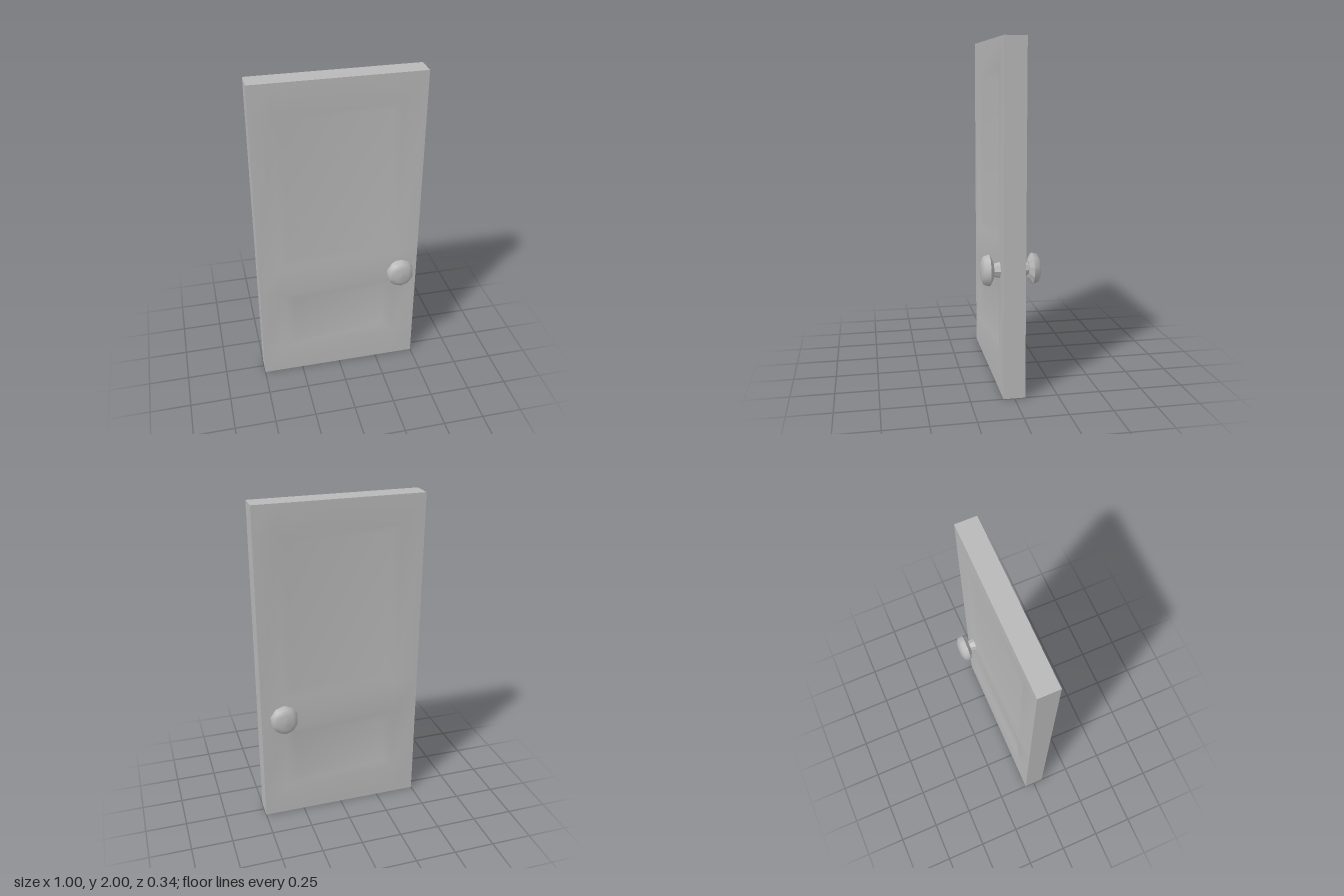
import * as THREE from 'three';

const W = 0.5, H = 2, D = 0.0625, RECESS = 0.02;

// One door face: a flat frame grid whose panel cells sink to an inset rectangle
function faceGeometry() {
  const xs = [-W, -0.36, 0.36, W];
  const ys = [0, 0.2, 0.62, 0.82, 1.83, H];
  const insets = { 1: [0.285, 0.25, 0.56], 3: [0.305, 0.875, 1.78] };
  const pos = [], index = [];
  const add = (x, y, z) => pos.push(x, y, z) / 3 - 1;
  const quad = (a, b, c, d) => index.push(a, b, c, a, c, d);
  const grid = ys.map(y => xs.map(x => add(x, y, D)));
  for (let j = 0; j < ys.length - 1; j++) {
    for (let i = 0; i < xs.length - 1; i++) {
      const outer = [grid[j][i], grid[j][i + 1], grid[j + 1][i + 1], grid[j + 1][i]];
      if (i !== 1 || !insets[j]) { quad(...outer); continue; }
      const [x, y0, y1] = insets[j], z = D - RECESS;
      const inner = [add(-x, y0, z), add(x, y0, z), add(x, y1, z), add(-x, y1, z)];
      for (let k = 0; k < 4; k++) {
        const n = (k + 1) % 4;
        quad(outer[k], outer[n], inner[n], inner[k]);
      }
      quad(...inner);
    }
  }
  const g = new THREE.BufferGeometry();
  g.setAttribute('position', new THREE.Float32BufferAttribute(pos, 3));
  g.setIndex(index);
  g.computeVertexNormals();
  return g;
}

const lathe = (points, sides) =>
  new THREE.LatheGeometry(points.map(([r, y]) => new THREE.Vector2(r, y)), sides);

export function createModel() {
  const model = new THREE.Group();
  model.name = 'door';
  const grey = new THREE.MeshStandardMaterial({ color: 0xb8b8b8 });
  grey.name = 'grey';
  const mesh = (geometry, name, parent) => {
    const m = new THREE.Mesh(geometry, grey);
    m.name = name;
    parent.add(m);
    return m;
  };

  // Edges of the slab: a box without its front and back
  const box = new THREE.BoxGeometry(2 * W, H, 2 * D);
  box.setIndex(Array.from(box.index.array.slice(0, 24)));
  box.clearGroups();
  mesh(box, 'doorEdges', model).position.y = H / 2;

  // Panelled faces
  const face = faceGeometry();
  mesh(face, 'frontFace', model);
  mesh(face, 'backFace', model).rotation.y = Math.PI;

  // Knob on each side: faceted stem, conical underside, rounded cap
  const stem = lathe([[0.048, 0.055], [0.037, 0.102]], 8).toNonIndexed();
  stem.computeVertexNormals();
  const underside = lathe([[0, 0.1], [0.052, 0.1], [0.0925, 0.122]], 10).toNonIndexed();
  underside.computeVertexNormals();
  const cap = lathe([[0.0925, 0.122], [0.083, 0.153], [0.052, 0.167], [0, 0.17]], 10);
  for (const side of [1, -1]) {
    const knob = new THREE.Group();
    knob.name = side > 0 ? 'frontKnob' : 'backKnob';
    mesh(stem, 'knobStem', knob);
    mesh(underside, 'knobUnderside', knob);
    mesh(cap, 'knobCap', knob);
    knob.rotation.x = side * Math.PI / 2;
    knob.scale.x = 0.93;
    knob.position.set(0.373, 0.718, 0);
    model.add(knob);
  }
  return model;
}
